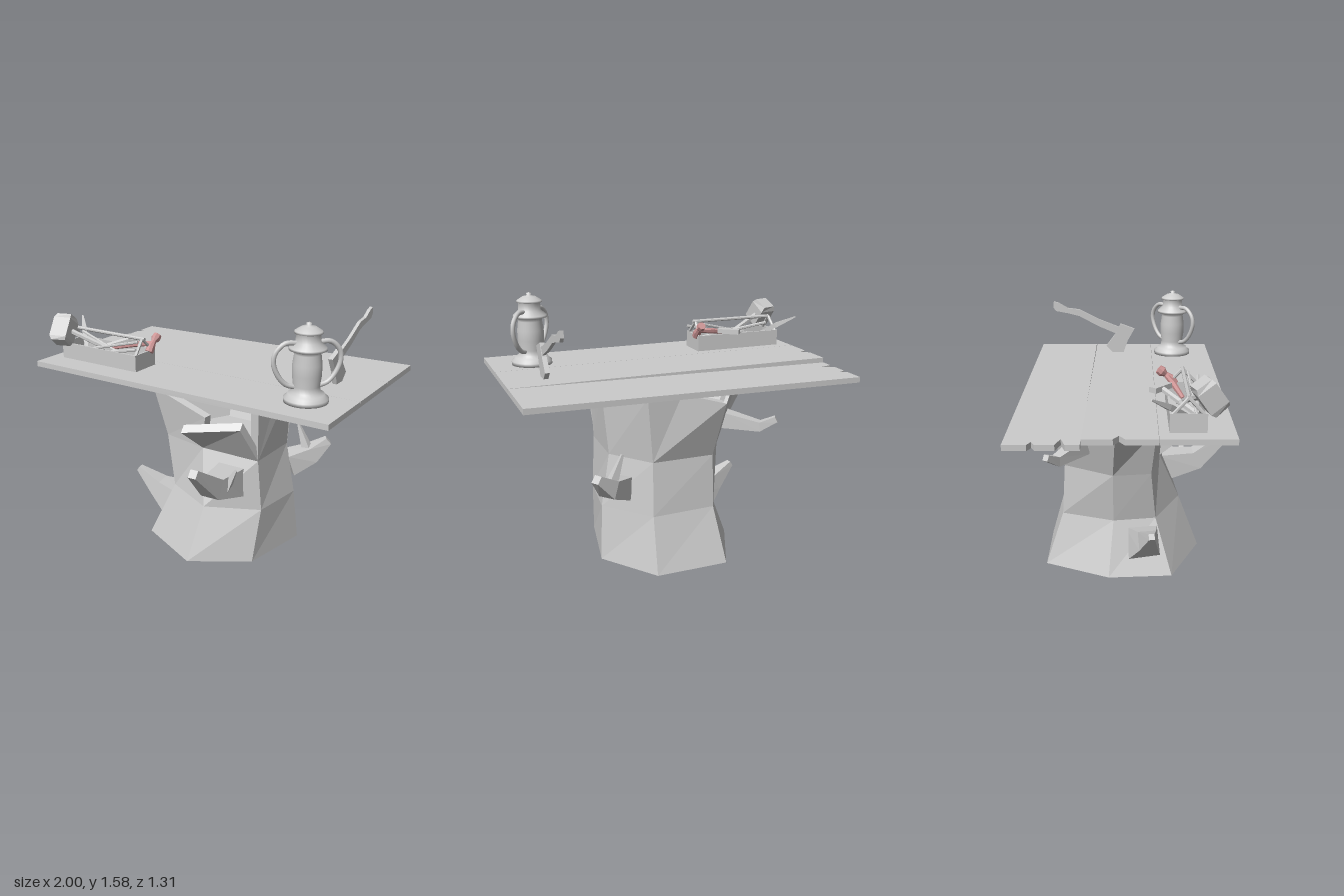
import * as THREE from 'three';

const V = (x, y, z) => new THREE.Vector3(x, y, z);
const flat = new THREE.MeshStandardMaterial({ color: 0xcccccc, flatShading: true, side: THREE.DoubleSide });
const smooth = new THREE.MeshStandardMaterial({ color: 0xcccccc, side: THREE.DoubleSide });
const red = new THREE.MeshStandardMaterial({ color: 0xcc9494, flatShading: true });

function mesh(name, geometry, material = flat) {
  const m = new THREE.Mesh(geometry, material);
  m.name = name;
  return m;
}

// Skin between rings of points, closed at both ends
function loft(rings) {
  const pos = [];
  const tri = (...p) => p.forEach(q => pos.push(q.x, q.y, q.z));
  const n = rings[0].length;
  for (let r = 0; r + 1 < rings.length; r++) {
    for (let i = 0; i < n; i++) {
      const j = (i + 1) % n, a = rings[r], b = rings[r + 1];
      tri(a[i], a[j], b[j]);
      tri(a[i], b[j], b[i]);
    }
  }
  const last = rings[rings.length - 1];
  for (let i = 1; i + 1 < n; i++) {
    tri(rings[0][0], rings[0][i + 1], rings[0][i]);
    tri(last[0], last[i], last[i + 1]);
  }
  const g = new THREE.BufferGeometry();
  g.setAttribute('position', new THREE.Float32BufferAttribute(pos, 3));
  g.computeVertexNormals();
  return g;
}

// Tapered faceted limb along a path; also used for rods
function limb(name, pts, radii, sides = 4, material = flat) {
  const path = pts.map(p => V(...p));
  const rings = path.map((p, k) => {
    const d = path[Math.min(k + 1, path.length - 1)].clone().sub(path[Math.max(k - 1, 0)]).normalize();
    const u = V().crossVectors(d, V(0, 1, 0)).normalize();
    const v = V().crossVectors(d, u);
    return Array.from({ length: sides }, (_, i) => {
      const a = ((i + 0.5) / sides) * Math.PI * 2;
      return p.clone().addScaledVector(u, Math.cos(a) * radii[k]).addScaledVector(v, Math.sin(a) * radii[k]);
    });
  });
  return mesh(name, loft(rings), material);
}

function buildStump() {
  const g = new THREE.Group();
  g.name = 'stump';
  const ring = (y, pts) => pts.map(([x, z]) => V(x, y, z));
  const foot = ring(0, [[-0.36, 0.24], [0.06, 0.43], [0.4, 0.215], [0.485, -0.225], [0.24, -0.55], [-0.205, -0.55], [-0.385, -0.15]]);
  const waist = ring(0.335, [[-0.23, 0.14], [0.1, 0.3], [0.42, 0.15], [0.465, -0.19], [0.23, -0.455], [-0.16, -0.44], [-0.27, -0.12]]);
  const neck = ring(0.66, [[-0.3, 0.11], [0.01, 0.17], [0.4, 0.165], [0.41, -0.18], [0.22, -0.42], [-0.16, -0.42], [-0.33, -0.12]]);
  // Hollow underside, then the outer wall
  const inner = (y, s) => foot.map(p => V(p.x * s, y, p.z * s));
  g.add(mesh('trunk', loft([inner(0.07, 0.8), inner(0, 0.9), foot, waist, neck])));

  // Splintered wall panels: top left, top right and any point between them
  const tops = [
    [[-0.25, 0.94, 0.15], [0.04, 0.87, 0.19]],
    [[0.05, 0.865, 0.455], [0.36, 0.895, 0.31]],
    [[0.41, 1.0, 0.19], [0.44, 1.09, -0.18], [0.425, 1.09, -0.03]],
    [[0.45, 1.08, -0.18], [0.26, 1.06, -0.45]],
    [[0.06, 1.07, -0.47], [-0.18, 1.01, -0.55]],
    [[-0.25, 1.09, -0.48], [-0.46, 1.04, -0.14]],
    [[-0.53, 1.0, -0.1], [-0.38, 0.97, 0.14]],
  ].map(t => t.map(p => V(...p)));
  const wall = (name, outer, thickness) => {
    const n = V().crossVectors(outer[1].clone().sub(outer[0]), outer[outer.length - 1].clone().sub(outer[0])).normalize();
    g.add(mesh(name, loft([outer.map(p => p.clone().addScaledVector(n, -thickness)), outer])));
  };
  tops.forEach(([l, r, ...mid], i) => wall('splinteredWall', [neck[i], neck[(i + 1) % 7], r, ...mid, l], 0.05));
  // Slivers closing the joints beside the panels, except at the flared front one
  for (const i of [0, 4, 5, 6]) wall('sliver', [neck[i], tops[i][0], tops[(i + 6) % 7][1]], 0.02);

  // Broken branches and their twigs
  g.add(limb('frontBranch', [[0.23, 0.51, 0.18], [0.24, 0.55, 0.42], [0.255, 0.725, 0.635]], [0.13, 0.085, 0.035]));
  g.add(limb('frontTwig', [[0.27, 0.51, 0.33], [0.34, 0.645, 0.32]], [0.045, 0.01]));
  g.add(limb('lowBranch', [[-0.25, 0.18, 0.06], [-0.4, 0.265, 0.09], [-0.545, 0.365, 0.11]], [0.15, 0.08, 0.025]));
  g.add(limb('sideBranch', [[0.37, 0.48, -0.28], [0.48, 0.53, -0.395], [0.57, 0.62, -0.45]], [0.1, 0.075, 0.035]));
  g.add(limb('sideTwig', [[0.46, 0.55, -0.38], [0.39, 0.72, -0.375]], [0.04, 0.01]));
  g.add(limb('backBranch', [[-0.28, 0.84, -0.3], [-0.46, 0.81, -0.44], [-0.54, 0.86, -0.49]], [0.07, 0.04, 0.025]));
  return g;
}

// Plank outline with triangular notches [z, half width, depth] on its left end
function plank(z0, z1, notches = []) {
  const s = new THREE.Shape();
  s.moveTo(-0.995, -z1);
  s.lineTo(1, -z1);
  s.lineTo(1, -z0);
  s.lineTo(-0.995, -z0);
  for (const [z, w, d] of notches) {
    s.lineTo(-0.995, -(z - w));
    s.lineTo(-0.995 + d, -z);
    s.lineTo(-0.995, -(z + w));
  }
  const geo = new THREE.ExtrudeGeometry(s, { depth: 0.033, bevelEnabled: false });
  const m = mesh('plank', geo.rotateX(-Math.PI / 2));
  m.position.y = 1.11;
  return m;
}

function buildLantern() {
  const g = new THREE.Group();
  g.name = 'lantern';
  const profile = [[0, 0], [0.123, 0], [0.123, 0.022], [0.105, 0.034], [0.1, 0.046], [0.078, 0.058], [0.072, 0.09], [0.08, 0.15], [0.08, 0.21], [0.072, 0.265],
    [0.075, 0.285], [0.103, 0.288], [0.1, 0.3], [0.068, 0.33], [0.065, 0.375], [0.078, 0.378], [0.074, 0.388], [0.04, 0.41], [0.012, 0.417], [0.015, 0.43], [0, 0.435]];
  g.add(mesh('lanternBody', new THREE.LatheGeometry(profile.map(p => new THREE.Vector2(...p)), 28), smooth));
  for (const s of [-1, 1]) {
    const path = new THREE.CatmullRomCurve3([[0.06, 0.325], [0.125, 0.325], [0.175, 0.28], [0.187, 0.225], [0.16, 0.15], [0.115, 0.1], [0.07, 0.085]]
      .map(([r, y]) => V(s * r, y, 0)));
    g.add(mesh('lanternArm', new THREE.TubeGeometry(path, 24, 0.014, 8), smooth));
  }
  g.position.set(0.747, 1.143, 0.273);
  g.rotation.y = Math.PI / 4;
  return g;
}

function buildAxe() {
  const g = new THREE.Group();
  g.name = 'axe';
  // Side outlines drawn as (-z, y), then turned to stand along z
  const slab = (name, pts, t) => {
    const s = new THREE.Shape(pts.map(p => new THREE.Vector2(...p)));
    const geo = new THREE.ExtrudeGeometry(s, { depth: t, bevelEnabled: false }).translate(0, 0, -t / 2);
    g.add(mesh(name, geo.rotateY(Math.PI / 2)));
  };
  slab('axeHead', [[-0.01, 1.31], [0.085, 1.345], [0.125, 1.27], [0.185, 1.19], [0.14, 1.145], [0.065, 1.145], [0.035, 1.23]], 0.028);
  slab('axeHandle', [[0.1, 1.27], [0.24, 1.33], [0.37, 1.4], [0.45, 1.42], [0.53, 1.435], [0.55, 1.46], [0.545, 1.5], [0.51, 1.49], [0.45, 1.455], [0.37, 1.445], [0.23, 1.375], [0.09, 1.32]], 0.02);
  g.position.x = 0.76;
  return g;
}

function buildToolbox() {
  const g = new THREE.Group();
  g.name = 'toolbox';
  const box = (name, w, h, d, x, y, z) => {
    const m = mesh(name, new THREE.BoxGeometry(w, h, d));
    m.position.set(x, y, z);
    g.add(m);
    return m;
  };
  box('boxFloor', 0.58, 0.015, 0.18, -0.62, 1.152, 0.28);
  for (const s of [-1, 1]) {
    box('boxSide', 0.58, 0.1, 0.012, -0.62, 1.195, 0.28 + s * 0.09);
    box('boxEnd', 0.012, 0.1, 0.17, -0.62 + s * 0.284, 1.195, 0.28);
    // Carrying frame
    for (const t of [-1, 1])
      g.add(limb('handleStay', [[-0.62 + s * 0.28, 1.24, 0.28 + t * 0.08], [-0.62 + s * 0.27, 1.325, 0.28]], [0.01, 0.01], 6));
  }
  g.add(limb('carryBar', [[-0.89, 1.325, 0.28], [-0.33, 1.325, 0.28]], [0.011, 0.011], 8));

  // Mallet leaning over the left end
  g.add(limb('malletHead', [[-0.87, 1.26, 0.435], [-0.875, 1.28, 0.42], [-0.89, 1.38, 0.35], [-0.895, 1.405, 0.335]], [0.065, 0.08, 0.08, 0.065]));
  g.add(limb('malletHandle', [[-0.88, 1.34, 0.38], [-0.5, 1.18, 0.25]], [0.017, 0.017], 6));
  // Cross-headed tool, blade and loose rods
  g.add(limb('toolShaft', [[-0.76, 1.19, 0.34], [-0.53, 1.27, 0.15]], [0.018, 0.018], 6));
  const head = box('toolHead', 0.14, 0.03, 0.05, -0.53, 1.27, 0.15);
  head.rotation.y = -0.7;
  g.add(limb('blade', [[-0.8, 1.2, 0.28], [-0.9, 1.28, 0.18], [-0.99, 1.345, 0.09]], [0.014, 0.022, 0.006]));
  g.add(limb('rod', [[-0.69, 1.2, 0.34], [-0.33, 1.28, 0.37]], [0.009, 0.009], 6));
  g.add(limb('rod', [[-0.85, 1.29, 0.24], [-0.4, 1.2, 0.34]], [0.01, 0.01], 6));
  g.add(limb('rod', [[-0.8, 1.2, 0.33], [-0.36, 1.31, 0.31]], [0.008, 0.008], 6));
  // Red hammer
  g.add(limb('hammerHandle', [[-0.6, 1.23, 0.27], [-0.45, 1.265, 0.225], [-0.33, 1.28, 0.19]], [0.012, 0.018, 0.014], 6, red));
  g.add(limb('hammerHead', [[-0.335, 1.235, 0.235], [-0.335, 1.265, 0.215], [-0.335, 1.29, 0.185], [-0.335, 1.305, 0.165], [-0.335, 1.32, 0.145]],
    [0.026, 0.026, 0.016, 0.03, 0.026], 8, red));
  return g;
}

export function createModel() {
  const model = new THREE.Group();
  model.name = 'stumpTable';
  const back = plank(-0.655, -0.264, [[-0.51, 0.02, 0.04], [-0.365, 0.025, 0.08]]);
  back.rotation.z = 0.015; // sagging plank
  back.position.y = 1.095;
  model.add(back, plank(-0.26, 0.129, [[-0.07, 0.03, 0.05]]), plank(0.131, 0.525));
  model.add(buildStump(), buildLantern(), buildAxe(), buildToolbox());
  return model;
}
